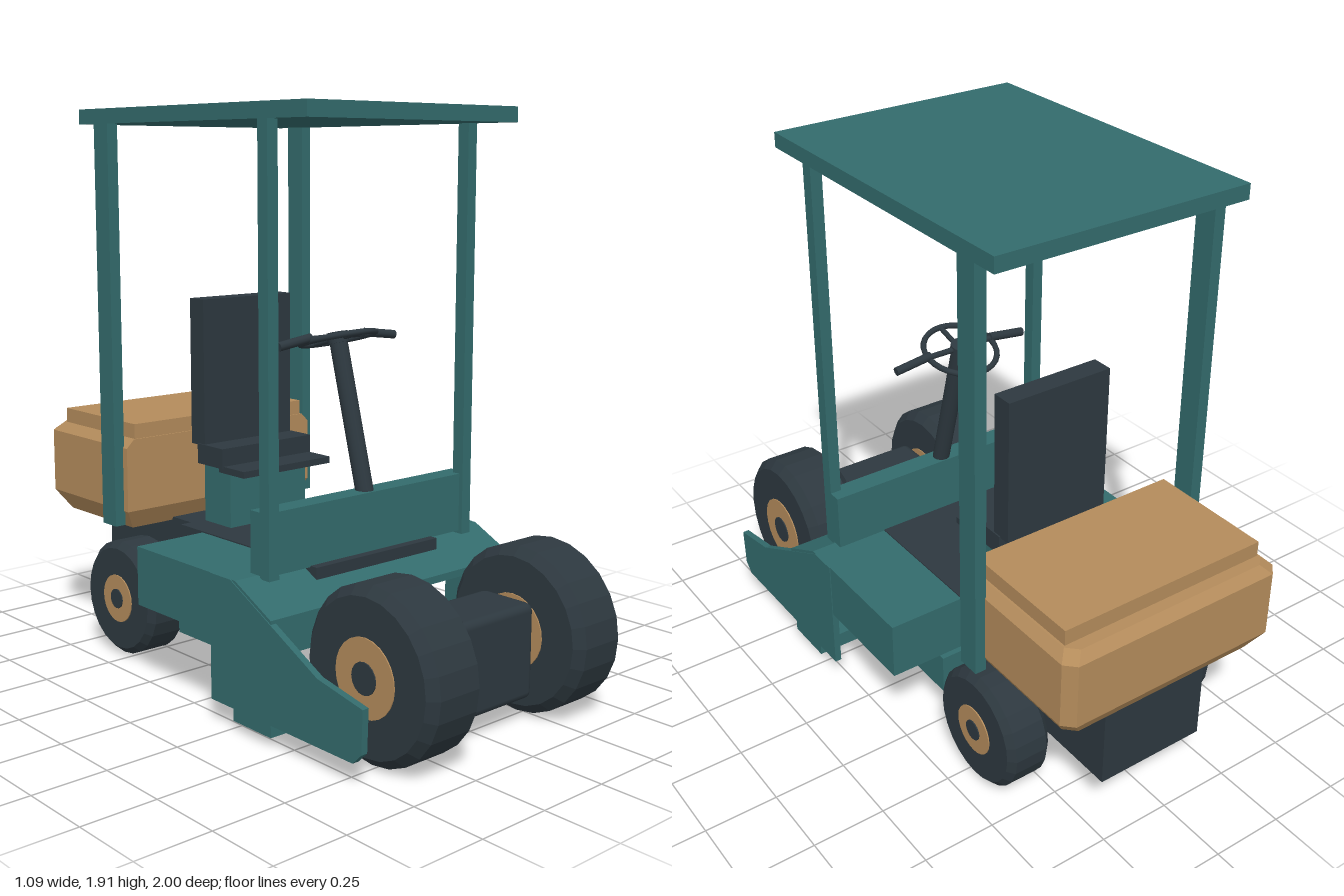
import * as THREE from 'three';
import { ConvexGeometry } from 'three/addons/geometries/ConvexGeometry.js';
import { RoundedBoxGeometry } from 'three/addons/geometries/RoundedBoxGeometry.js';

const material = (name, color) => {
  const m = new THREE.MeshStandardMaterial({ color });
  m.name = name;
  return m;
};

export function createModel() {
  const teal = material('teal paint', 0x336b6c);
  const dark = material('dark slate', 0x2d383f);
  const tan = material('tan', 0xb38b5b);
  const model = new THREE.Group();
  model.name = 'rideOnRoller';

  const add = (name, geometry, mat, parent = model) => {
    const mesh = new THREE.Mesh(geometry, mat);
    mesh.name = name;
    parent.add(mesh);
    return mesh;
  };
  // Box from its minimum and maximum on each axis
  const box = (name, mat, x0, x1, y0, y1, z0, z1) =>
    add(name, new THREE.BoxGeometry(x1 - x0, y1 - y0, z1 - z0), mat)
      .position.set((x0 + x1) / 2, (y0 + y1) / 2, (z0 + z1) / 2);
  // Side profile of (z, y) points, extruded from x0 to x1
  const profile = (name, mat, points, x0, x1) => {
    const shape = new THREE.Shape(points.map(([z, y]) => new THREE.Vector2(z, y)));
    const g = new THREE.ExtrudeGeometry(shape, { depth: x1 - x0, bevelEnabled: false });
    g.rotateY(-Math.PI / 2).translate(x1, 0, 0);
    add(name, g, mat);
  };
  // Cylinder between two points
  const rod = (name, mat, a, b, r, sides = 16) => {
    const from = new THREE.Vector3(...a), to = new THREE.Vector3(...b);
    const dir = to.clone().sub(from);
    const mesh = add(name, new THREE.CylinderGeometry(r, r, dir.length(), sides), mat);
    mesh.position.copy(from).add(to).multiplyScalar(0.5);
    mesh.quaternion.setFromUnitVectors(new THREE.Vector3(0, 1, 0), dir.normalize());
  };

  // Canopy and posts
  box('canopyRoof', teal, -0.45, 0.45, 1.86, 1.91, -0.68, 0.5);
  for (const s of [-1, 1]) {
    const [a, b] = s < 0 ? [-0.45, -0.41] : [0.41, 0.45];
    box('frontPost', teal, a, b, 0.47, 1.86, 0.28, 0.325);
    box('rearPost', teal, a, b, 0.48, 1.86, -0.59, -0.51);
  }

  // Body
  box('frontPanel', teal, -0.45, 0.45, 0.48, 0.68, 0.235, 0.31);
  box('deck', teal, -0.54, 0.54, 0.28, 0.48, -0.25, 0.15);
  profile('slopedDeckFront', teal,
    [[0.15, 0.48], [0.15, 0.455], [0.26, 0.455], [0.44, 0.37], [0.44, 0.395], [0.27, 0.48]], -0.54, 0.54);
  box('lowerBody', teal, -0.36, 0.36, 0.14, 0.28, -0.27, 0.15);
  box('chassisBeam', dark, -0.27, 0.27, 0.42, 0.484, -0.375, 0.34);
  box('engineBlock', dark, -0.2, 0.2, 0.15, 0.472, -0.92, -0.26);

  // Side guards
  const guard = [[0.15, 0.48], [0.15, 0.07], [0.8, 0.07], [0.835, 0.105], [0.84, 0.24],
    [0.65, 0.277], [0.25, 0.48]];
  profile('leftGuard', teal, guard, 0.52, 0.543);
  profile('rightGuard', teal, guard, -0.543, -0.52);
  box('lowerCrossbar', teal, -0.542, 0.542, 0.03, 0.085, 0.26, 0.44);
  box('scraper', dark, -0.18, 0.18, 0.03, 0.065, 0.44, 0.63);

  // Wheels
  const wheel = (name, x, y, z, R, half, rim, hub) => {
    const g = new THREE.Group();
    g.name = name;
    const bevel = R * 0.11;
    const outline = [[0, -half], [R - bevel, -half], [R, bevel - half], [R, half - bevel],
      [R - bevel, half], [0, half]].map(([r, h]) => new THREE.Vector2(r, h));
    const tyre = new THREE.LatheGeometry(outline, 24).toNonIndexed();
    tyre.computeVertexNormals();
    add('tyre', tyre, dark, g);
    add('rim', new THREE.CylinderGeometry(rim, rim, 2 * half + 0.008, 24), tan, g);
    add('hub', new THREE.CylinderGeometry(hub, hub, 2 * half + 0.016, 16), dark, g);
    g.rotation.z = Math.PI / 2;
    g.position.set(x, y, z);
    model.add(g);
  };
  for (const s of [-1, 1]) {
    wheel('frontWheel', s * 0.32, 0.272, 0.728, 0.272, 0.108, 0.122, 0.05);
    wheel('rearWheel', s * 0.345, 0.208, -0.545, 0.203, 0.08, 0.085, 0.035);
  }
  add('frontAxleHousing', new RoundedBoxGeometry(0.4, 0.31, 0.21, 2, 0.025), dark)
    .position.set(0, 0.235, 0.725);
  rod('frontAxle', dark, [-0.25, 0.272, 0.728], [0.25, 0.272, 0.728], 0.08);
  rod('rearAxle', dark, [-0.3, 0.208, -0.545], [0.3, 0.208, -0.545], 0.04);

  // Seat
  box('seatPedestal', teal, -0.17, 0.17, 0.48, 0.7, -0.365, -0.22);
  box('seatFrontLip', dark, -0.195, 0.195, 0.68, 0.703, -0.25, -0.115);
  box('seatCushion', dark, -0.2, 0.2, 0.695, 0.765, -0.365, -0.225);
  box('seatBack', dark, -0.195, 0.195, 0.76, 1.27, -0.405, -0.33);

  // Tank: stacked outlines with cut rear corners
  const tankPoints = [];
  for (const [y, inset, front] of [[0.46, 0.045, -0.525], [0.53, 0, -0.485], [0.755, 0, -0.485], [0.785, 0.03, -0.485]]) {
    const w = 0.415 - inset, back = -1 + inset;
    for (const s of [-1, 1]) {
      tankPoints.push(new THREE.Vector3(s * w, y, front),
        new THREE.Vector3(s * w, y, back + 0.035), new THREE.Vector3(s * (w - 0.035), y, back));
    }
  }
  add('tank', new ConvexGeometry(tankPoints), tan);
  box('tankLid', tan, -0.378, 0.378, 0.78, 0.837, -0.93, -0.49);

  // Steering
  const top = [0, 1.165, 0.14];
  rod('steeringColumn', dark, [0, 0.66, 0.275], top, 0.03);
  const ring = add('steeringWheel', new THREE.TorusGeometry(0.125, 0.01, 8, 28), dark);
  ring.position.set(...top);
  ring.rotation.x = -Math.PI / 2 - 0.27;
  rod('steeringHub', dark, [0, 1.15, 0.144], [0, 1.185, 0.135], 0.035);
  rod('steeringSpoke', dark, [0, 1.132, 0.02], [0, 1.198, 0.26], 0.009, 8);
  rod('handlebar', dark, [-0.13, 1.172, 0.14], [0.13, 1.172, 0.14], 0.01, 8);
  for (const s of [-1, 1]) {
    rod('handleGrip', dark, [s * 0.12, 1.176, 0.14], [s * 0.255, 1.158, 0.14], 0.015, 10);
  }
  return model;
}
